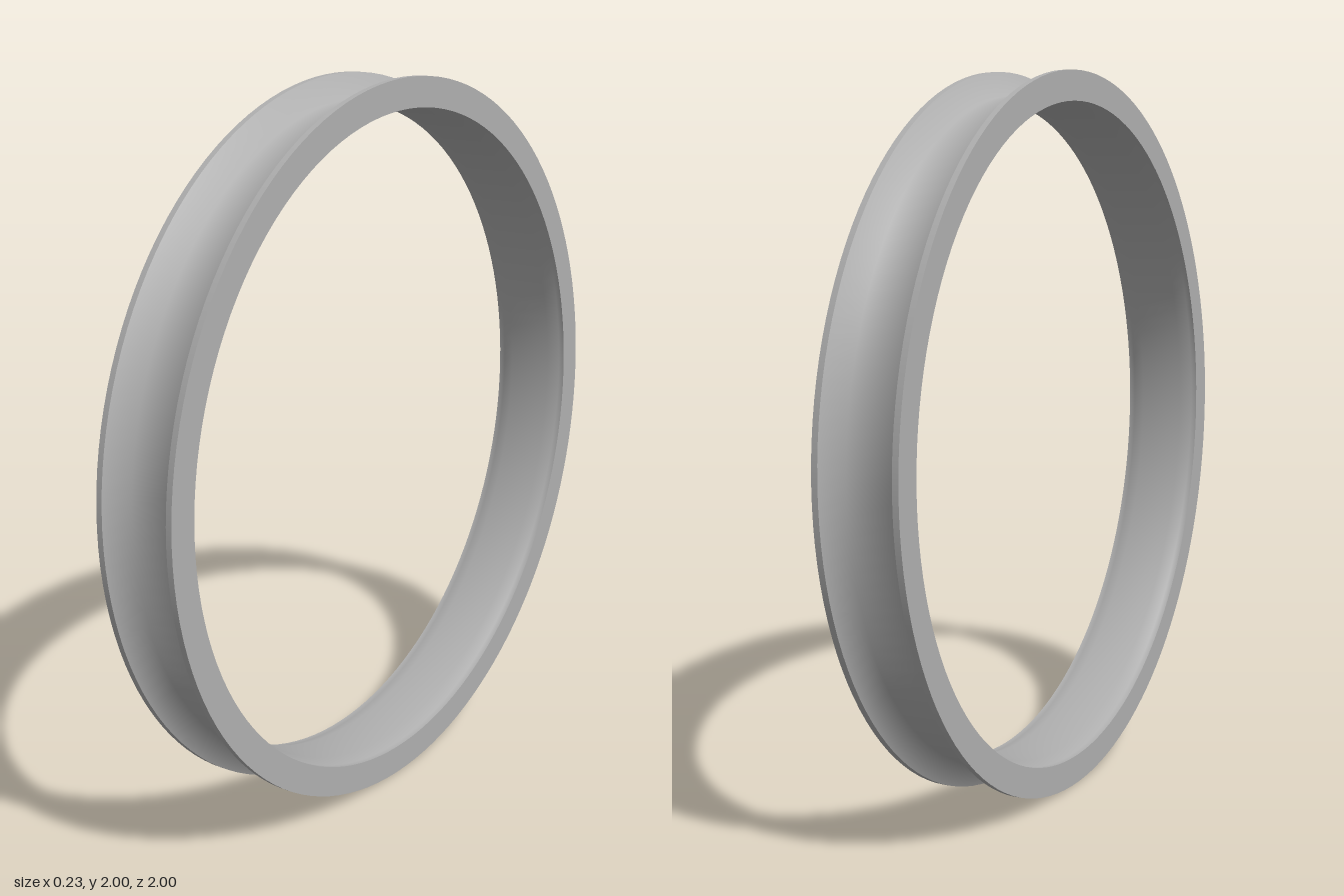
import * as THREE from 'three';

const SEGMENTS = 128;

export function createModel() {
  const model = new THREE.Group();
  model.name = 'wheelRim';
  const metal = new THREE.MeshStandardMaterial({ color: 0xb0b0b0 });
  metal.name = 'grey metal';

  // The wheel turns about x and stands on the ground
  const rim = new THREE.Group();
  rim.name = 'rim';
  rim.rotation.z = -Math.PI / 2;
  rim.position.y = 1;
  model.add(rim);

  // One smooth band per strip of [radius, offset along axle]; seams stay sharp
  const band = (name, profile) => {
    const points = profile.map(([r, a]) => new THREE.Vector2(r, a));
    const mesh = new THREE.Mesh(new THREE.LatheGeometry(points, SEGMENTS), metal);
    mesh.name = name;
    rim.add(mesh);
  };

  // Outer channel and inner face
  band('outerChannel', [[1, -0.1], [0.935, -0.063], [0.935, 0.063], [1, 0.1]]);
  band('innerFace', [[0.918, 0.117], [0.918, 0.1], [0.905, 0.065], [0.905, -0.065], [0.918, -0.1], [0.918, -0.117]]);

  // Flange edges and side walls
  band('leftFlangeEdge', [[1, 0.1], [1, 0.117]]);
  band('rightFlangeEdge', [[1, -0.117], [1, -0.1]]);
  band('leftSideWall', [[1, 0.117], [0.918, 0.117]]);
  band('rightSideWall', [[0.918, -0.117], [1, -0.117]]);

  return model;
}
